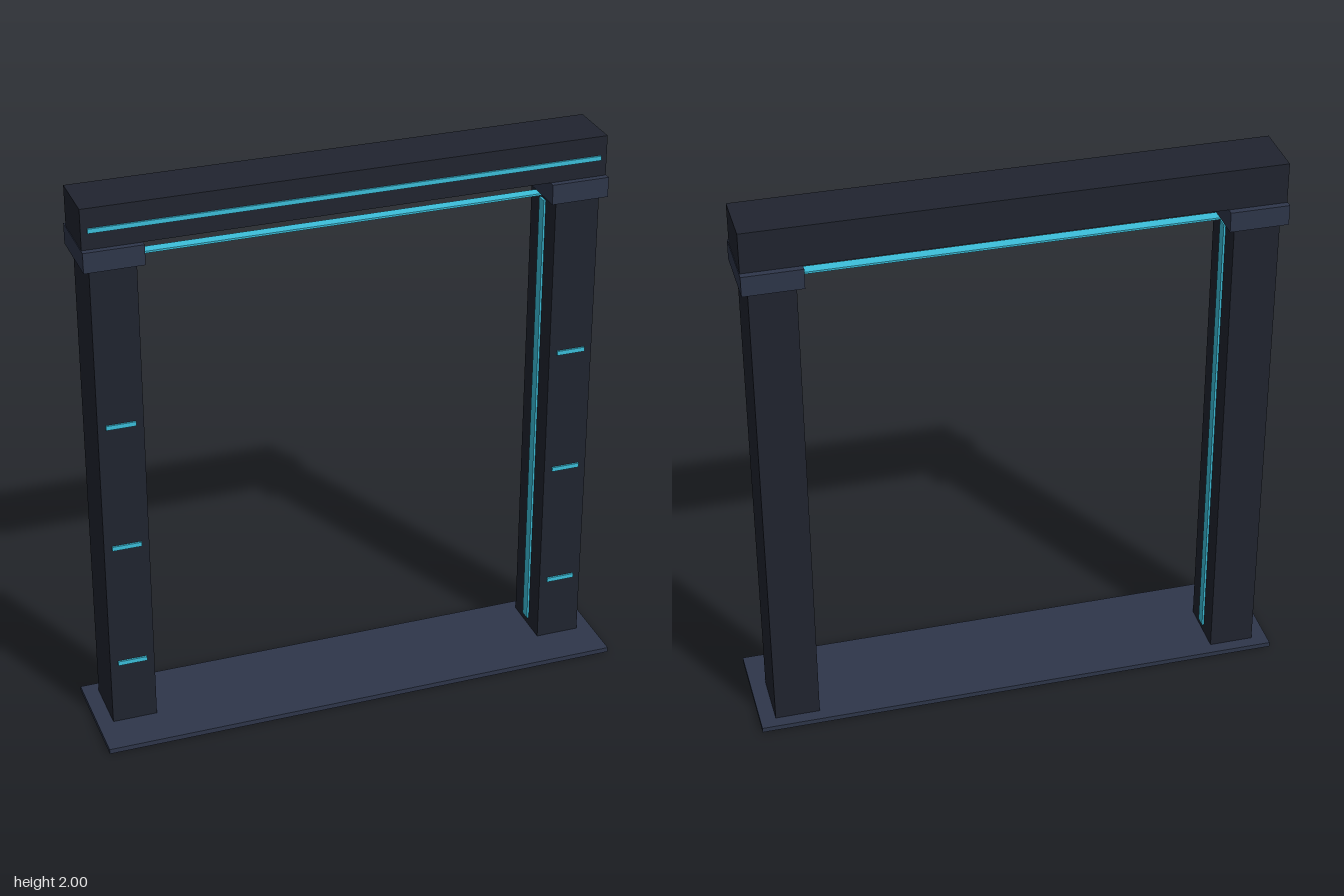
import * as THREE from 'three';

const DARK = new THREE.MeshStandardMaterial({ color: 0x20242f });
const SLATE = new THREE.MeshStandardMaterial({ color: 0x2e364a });
const CYAN = new THREE.MeshStandardMaterial({ color: 0x3cc0dc });

// Box given by its min and max along each axis
function box(name, material, [x0, x1], [y0, y1], [z0, z1]) {
  const mesh = new THREE.Mesh(new THREE.BoxGeometry(x1 - x0, y1 - y0, z1 - z0), material);
  mesh.position.set((x0 + x1) / 2, (y0 + y1) / 2, (z0 + z1) / 2);
  mesh.name = name;
  return mesh;
}

// Frame depths: the gate stands slightly behind the middle of its base
const FRAME_Z = [-0.161, 0.046];
const CAP_Z = [-0.184, 0.068];
const GLOW_Z = [-0.078, -0.038];
const FRONT_STRIP_Z = [0.04, 0.053];

export function createModel() {
  const gate = new THREE.Group();
  gate.name = 'gate';

  gate.add(box('basePlate', SLATE, [-0.953, 0.953], [0, 0.018], [-0.205, 0.205]));

  // Post, capital and light strips on each side
  for (const [side, s] of [['left', 1], ['right', -1]]) {
    const span = (a, b) => (s > 0 ? [a, b] : [-b, -a]);
    const column = new THREE.Group();
    column.name = side + 'Column';
    column.add(
      box('post', DARK, span(0.737, 0.897), [0.018, 1.784], FRAME_Z),
      box('capital', SLATE, span(0.714, 0.92), [1.784, 1.856], CAP_Z),
      box('innerLight', CYAN, span(0.73, 0.74), [0.048, 1.753], GLOW_Z)
    );
    for (const y of [0.262, 0.732, 1.202]) {
      column.add(box('frontLight', CYAN, span(0.765, 0.869), [y - 0.008, y + 0.008], FRONT_STRIP_Z));
    }
    gate.add(column);
  }

  // Lintel with its front strip, and the thin light bar hung below it
  gate.add(
    box('lintel', DARK, [-0.918, 0.918], [1.856, 2], FRAME_Z),
    box('lintelLight', CYAN, [-0.896, 0.896], [1.915, 1.931], FRONT_STRIP_Z),
    box('lightBar', CYAN, [-0.737, 0.737], [1.775, 1.782], GLOW_Z)
  );
  return gate;
}
